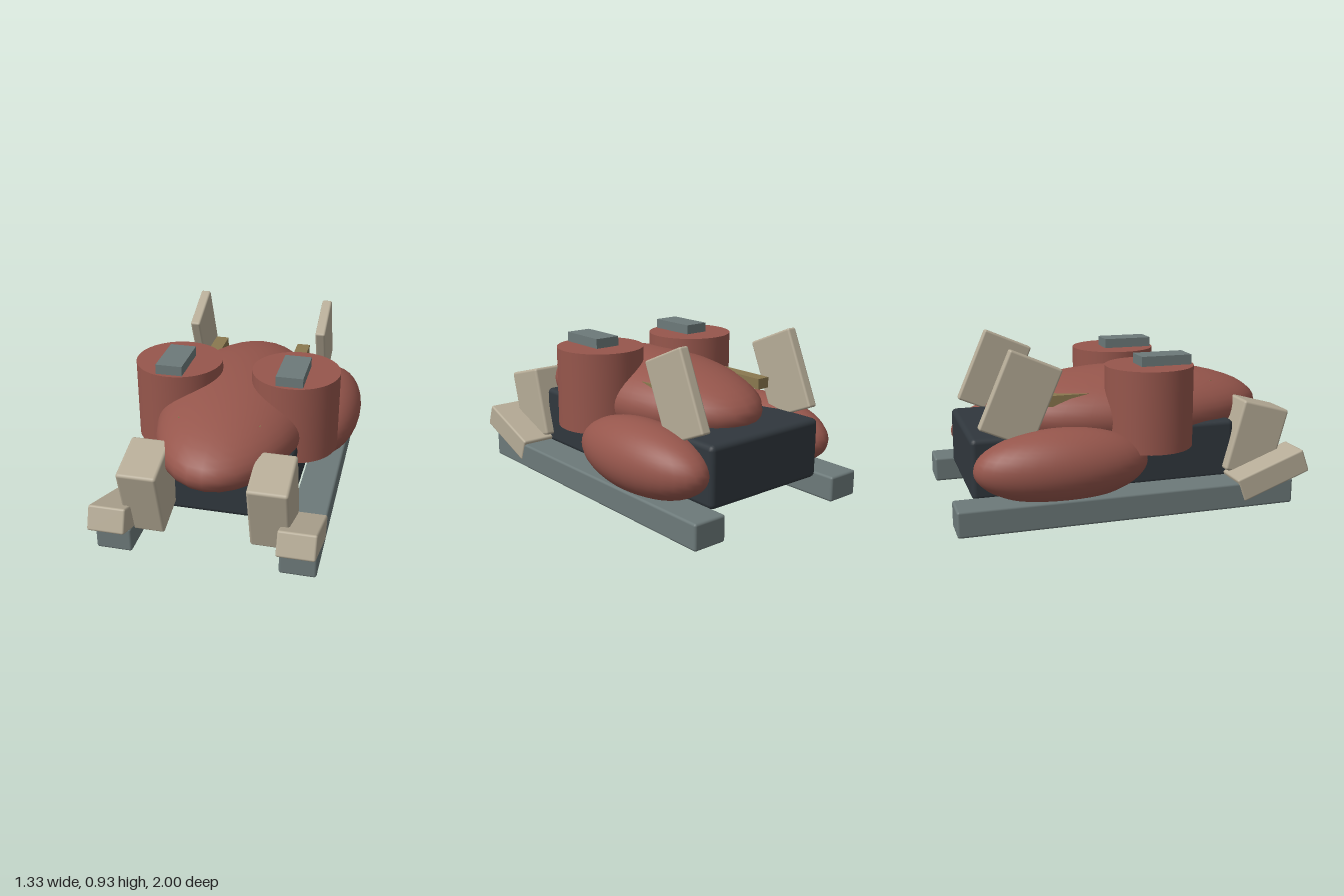
import * as THREE from 'three';
import { RoundedBoxGeometry } from 'three/addons/geometries/RoundedBoxGeometry.js';

const paint = (name, color) => {
  const m = new THREE.MeshStandardMaterial({ color });
  m.name = name;
  return m;
};

export function createModel() {
  const group = new THREE.Group();
  const red = paint('brick red', 0x96564c);
  const dark = paint('charcoal', 0x30373d);
  const grey = paint('slate grey', 0x6c7979);
  const beige = paint('beige', 0xb6ac97);
  const brown = paint('bronze', 0x8a784f);

  const add = (name, geometry, material, [x, y, z], tilt = 0) => {
    const mesh = new THREE.Mesh(geometry, material);
    mesh.name = name;
    mesh.position.set(x, y, z);
    mesh.rotation.x = tilt;
    group.add(mesh);
  };
  const rounded = (w, h, d, r) => new RoundedBoxGeometry(w, h, d, 2, r);
  const ellipsoid = (rx, ry, rz) => new THREE.SphereGeometry(1, 32, 24).scale(rx, ry, rz);

  // Central hull and the body resting on it
  add('chassis', rounded(0.79, 0.34, 1.51, 0.03), dark, [0, 0.29, -0.135]);
  add('body', ellipsoid(0.43, 0.242, 0.83), red, [0, 0.502, 0.08]);

  // Mirrored parts
  for (const [side, s] of [['left', 1], ['right', -1]]) {
    add(side + 'Skid', rounded(0.2, 0.145, 1.9, 0.014), grey, [s * 0.5, 0.0725, -0.05]);
    add(side + 'SidePod', ellipsoid(0.215, 0.2, 0.48), red, [s * 0.45, 0.3, -0.41]);
    add(side + 'Drum', new THREE.CylinderGeometry(0.247, 0.247, 0.455, 48), red, [s * 0.338, 0.5725, 0.118]);
    add(side + 'DrumCap', new THREE.BoxGeometry(0.15, 0.055, 0.29), grey, [s * 0.336, 0.8275, 0.195]);

    // Tilted plates at the front
    add(side + 'FrontPlate', rounded(0.216, 0.417, 0.292, 0.016), beige, [s * 0.341, 0.341, 0.746], 0.27);
    add(side + 'FrontFoot', rounded(0.205, 0.138, 0.426, 0.012), beige, [s * 0.502, 0.172, 0.778], -0.35);

    // Rear fins, bars and eyes
    add(side + 'RearFin', rounded(0.06, 0.452, 0.305, 0.012), beige, [s * 0.393, 0.662, -0.62], 0.41);
    add(side + 'RearBar', new THREE.BoxGeometry(0.078, 0.06, 0.52), brown, [s * 0.266, 0.618, -0.33]);
    add(side + 'Eye', new THREE.BoxGeometry(0.07, 0.05, 0.07), brown, [s * 0.19, 0.634, 0.515]);
  }
  return group;
}
